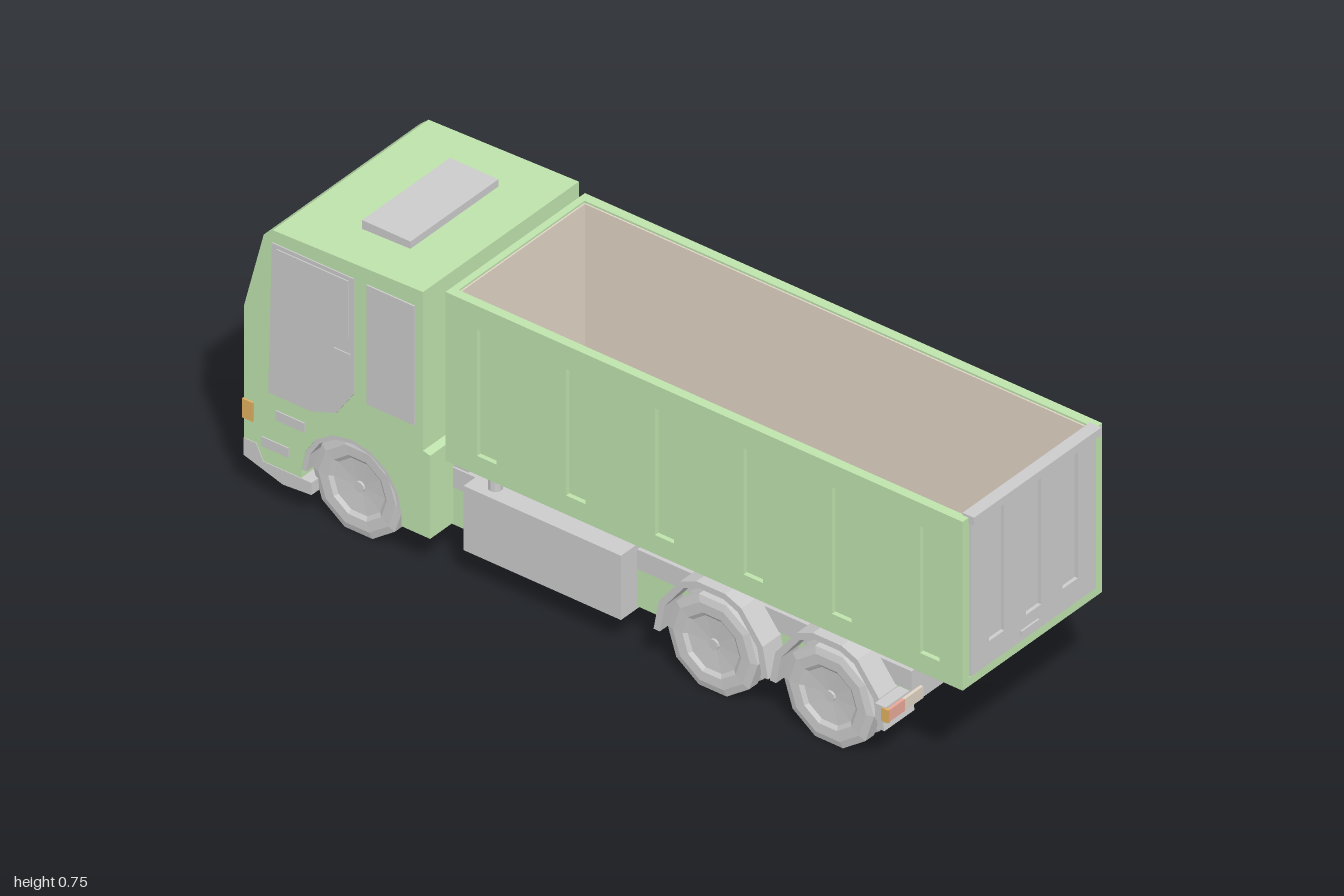
import * as THREE from 'three';

const mat = (color) => new THREE.MeshStandardMaterial({ color, flatShading: true, side: THREE.DoubleSide });
const GREY = mat(0xcccccc), GREEN = mat(0xbfe3ad), TAN = mat(0xe0d4c4), RED = mat(0xe8a898), ORANGE = mat(0xe0b060);

export function createModel() {
  const root = new THREE.Group();
  root.name = 'tipperTruck';

  const add = (name, geo, m = GREY) => {
    const mesh = new THREE.Mesh(geo, m);
    mesh.name = name;
    root.add(mesh);
    return mesh;
  };
  // Box given by its extents
  const box = (name, x0, x1, y0, y1, z0, z1, m) => add(name,
    new THREE.BoxGeometry(x1 - x0, y1 - y0, z1 - z0).translate((x0 + x1) / 2, (y0 + y1) / 2, (z0 + z1) / 2), m);
  // The same box on both sides of the truck
  const pair = (name, x0, x1, y0, y1, z0, z1, m) => {
    box(name + 'Left', x0, x1, y0, y1, z0, z1, m);
    box(name + 'Right', x0, x1, y0, y1, -z1, -z0, m);
  };
  const shapeOf = (pts) => new THREE.Shape(pts.map(([x, y]) => new THREE.Vector2(x, y)));
  const prism = (shape, z0, z1) =>
    new THREE.ExtrudeGeometry(shape, { depth: z1 - z0, bevelEnabled: false }).translate(0, 0, z0);
  const prismPair = (name, shape, z0, z1, m) => {
    add(name + 'Left', prism(shape, z0, z1), m);
    add(name + 'Right', prism(shape, -z1, -z0), m);
  };
  // Rectangle with upright slots cut through it
  const slotted = (x0, x1, y0, y1, centres, w, s0, s1) => {
    const s = shapeOf([[x0, y0], [x1, y0], [x1, y1], [x0, y1]]);
    for (const c of centres) {
      s.holes.push(new THREE.Path([[c - w, s0], [c - w, s1], [c + w, s1], [c + w, s0]].map((p) => new THREE.Vector2(...p))));
    }
    return s;
  };
  // Half-ring points, from left foot to right foot
  const arch = (cx, cy, r, n) => Array.from({ length: n + 1 }, (_, i) => {
    const a = Math.PI * (1 - i / n);
    return [cx + r * Math.cos(a), cy + r * Math.sin(a)];
  });

  // Cab: solid middle, with outer sides notched for the front wheels
  const upper = [[-0.48, 0.09], [-0.48, 0.31], [-0.5, 0.315], [-0.5, 0.735], [-0.92, 0.722], [-0.945, 0.7], [-1, 0.49], [-1, 0.1], [-0.945, 0.1]];
  add('cabCore', prism(shapeOf(upper), -0.19, 0.19), GREEN);
  prismPair('cabSide', shapeOf([...upper, [-0.84, 0.1], ...arch(-0.7, 0.12, 0.14, 8), [-0.56, 0.09]]), 0.19, 0.275, GREEN);
  const ring = (cx, cy, ro, ri, n) => shapeOf([...arch(cx, cy, ro, n), ...arch(cx, cy, ri, n).reverse()]);
  prismPair('frontWheelArch', ring(-0.7, 0.12, 0.141, 0.128, 8), 0.19, 0.272);
  add('frontBumper', prism(shapeOf([[-1.0, 0.14], [-0.965, 0.14], [-0.945, 0.1], [-0.81, 0.1], [-0.81, 0.068], [-0.89, 0.062], [-1, 0.095]]), -0.277, 0.277));

  // Windscreen, grille and front lights
  const screen = add('windscreen', new THREE.BoxGeometry(0.008, 0.195, 0.5));
  screen.position.set(-0.9725, 0.596, 0);
  screen.rotation.z = -0.256;
  for (let i = 0; i < 6; i++) box('grilleSlat', -1.003, -0.99, 0.255 + i * 0.026, 0.275 + i * 0.026, -0.1, 0.1);
  box('grilleBack', -1.001, -0.98, 0.25, 0.41, -0.1, 0.1);
  box('frontPlate', -1.003, -0.99, 0.105, 0.13, -0.06, 0.06, TAN);
  pair('headlight', -1.002, -0.98, 0.165, 0.21, 0.13, 0.24);
  pair('frontIndicator', -1.002, -0.972, 0.195, 0.245, 0.245, 0.28, ORANGE);

  // Doors, side windows, steps and roof hatch
  const door = shapeOf([[-0.93, 0.29], [-0.81, 0.29], [-0.74, 0.315], [-0.692, 0.385], [-0.692, 0.69], [-0.92, 0.69]]);
  prismPair('door', door, 0.272, 0.278);
  prismPair('doorWindow', shapeOf([[-0.92, 0.515], [-0.705, 0.53], [-0.705, 0.68], [-0.905, 0.68]]), 0.276, 0.281);
  pair('rearSideWindow', -0.655, -0.522, 0.375, 0.69, 0.272, 0.279);
  pair('doorHandle', -0.745, -0.7, 0.478, 0.488, 0.276, 0.281);
  pair('upperStep', -0.91, -0.83, 0.225, 0.25, 0.27, 0.278);
  pair('lowerStep', -0.95, -0.875, 0.14, 0.165, 0.27, 0.278);
  box('roofHatch', -0.765, -0.63, 0.72, 0.75, -0.155, 0.155);

  // Chassis
  add('chassis', prism(shapeOf([[-0.5, 0.085], [0.7, 0.085], [0.78, 0.145], [0.8, 0.2], [0.78, 0.235], [-0.5, 0.235]]), -0.193, 0.193), GREEN);
  box('chassisFrame', -0.48, 0.802, 0.185, 0.237, -0.195, 0.195);
  box('centreBeam', -0.48, 0.84, 0.235, 0.291, -0.075, 0.075);
  box('frontCrossmember', -0.482, -0.44, 0.235, 0.3, -0.19, 0.19);

  // Side tanks
  pair('sideTank', -0.405, 0.035, 0.08, 0.25, 0.17, 0.252);
  for (const s of [1, -1]) {
    add('tankCap', new THREE.CylinderGeometry(0.017, 0.017, 0.03, 10).translate(-0.345, 0.263, s * 0.215));
  }

  // Wheels: ten-sided, with a recessed rim and hub
  const profile = [[0, -0.014], [0.014, -0.014], [0.014, -0.008], [0.072, -0.012], [0.082, -0.019], [0.108, -0.02], [0.126, -0.015]];
  const points = [...profile, ...profile.map(([r, a]) => [r, -a]).reverse()].map((p) => new THREE.Vector2(...p));
  const wheelGeo = new THREE.LatheGeometry(points, 10, Math.PI / 2).rotateX(Math.PI / 2);
  const wheel = (name, x, z) => add(name, wheelGeo).position.set(x, 0.12, z);
  for (const s of [1, -1]) {
    wheel('frontWheel', -0.7, s * 0.235);
    for (const x of [0.29, 0.615]) {
      wheel('rearOuterWheel', x, s * 0.235);
      wheel('rearInnerWheel', x, s * 0.186);
    }
  }
  for (const x of [-0.7, 0.29, 0.615]) {
    add('axle', new THREE.CylinderGeometry(0.02, 0.02, 0.44, 10).rotateX(Math.PI / 2).translate(x, 0.12, 0));
  }

  // Rear mudguards
  for (const x of [0.29, 0.615]) {
    const outer = [[-0.16, 0.1], [-0.145, 0.18], [-0.085, 0.257], [-0.04, 0.276], [0.04, 0.276], [0.085, 0.257], [0.145, 0.18], [0.16, 0.1]];
    const inner = outer.map(([a, b]) => [a * 0.89, 0.1 + (b - 0.1) * 0.91]).reverse();
    prismPair('mudguard', shapeOf([...outer, ...inner].map(([a, b]) => [x + a, b])), 0.15, 0.257);
  }

  // Rear bumper and lights
  box('rearBumper', 0.765, 0.795, 0.14, 0.182, -0.278, 0.278);
  box('rearPlate', 0.79, 0.8, 0.146, 0.177, -0.05, 0.05, TAN);
  pair('reverseLight', 0.79, 0.803, 0.146, 0.177, 0.155, 0.22, TAN);
  pair('tailLight', 0.79, 0.803, 0.146, 0.177, 0.22, 0.277, RED);
  pair('sideMarker', 0.785, 0.805, 0.146, 0.18, 0.275, 0.281, ORANGE);

  // Open bed: slotted outer sides, green backing and a lined interior
  const ribs = [-0.345, -0.096, 0.152, 0.4, 0.647, 0.893];
  prismPair('bedSide', slotted(-0.46, 0.985, 0.29, 0.737, ribs, 0.027, 0.34, 0.675), 0.234, 0.246, GREEN);
  pair('bedSideBacking', -0.46, 0.985, 0.29, 0.737, 0.222, 0.234, GREEN);
  pair('bedSideLining', -0.44, 0.972, 0.315, 0.732, 0.218, 0.222, TAN);
  box('bedFrontWall', -0.46, -0.442, 0.29, 0.737, -0.222, 0.222, GREEN);
  box('bedFrontLining', -0.442, -0.438, 0.315, 0.732, -0.22, 0.22, TAN);
  box('bedFloor', -0.46, 0.985, 0.29, 0.312, -0.222, 0.222, GREEN);
  box('bedFloorLining', -0.44, 0.972, 0.312, 0.316, -0.22, 0.22, TAN);

  // Tailgate with three recessed panels and a top rail
  const gate = slotted(-0.22, 0.22, 0.315, 0.725, [-0.13, 0, 0.13], 0.027, 0.375, 0.71);
  add('tailgate', prism(gate, 0, 0.01).rotateY(Math.PI / 2).translate(0.978, 0, 0));
  box('tailgateBacking', 0.968, 0.979, 0.315, 0.725, -0.22, 0.22);
  box('tailgateRail', 0.968, 1.0, 0.722, 0.743, -0.225, 0.225);
  box('tailgateHandle', 0.985, 0.993, 0.333, 0.344, -0.015, 0.047);

  return root;
}
